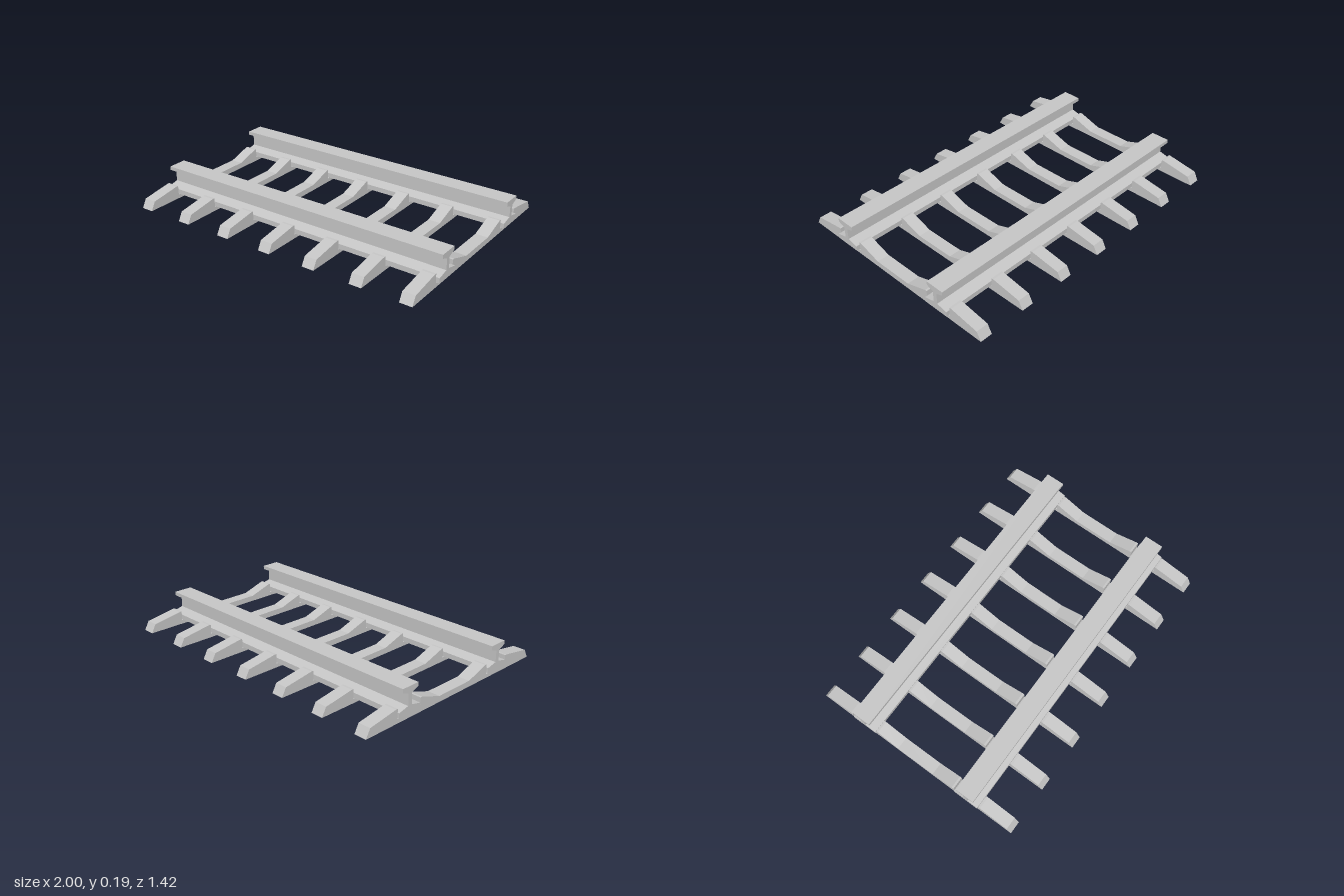
import * as THREE from 'three';

// Extrude a (z, y) cross-section along x, centred on x = 0
function sweep(points, length) {
  const shape = new THREE.Shape(points.map(([z, y]) => new THREE.Vector2(z, y)));
  const geometry = new THREE.ExtrudeGeometry(shape, { depth: length, bevelEnabled: false });
  geometry.translate(0, 0, -length / 2);
  geometry.rotateY(-Math.PI / 2);
  return geometry;
}

// Close a half profile by mirroring it across z = 0
const mirrored = (half) => [...half, ...half.map(([z, y]) => [-z, y]).reverse()];

export function createModel() {
  const model = new THREE.Group();
  model.name = 'railwayTrack';

  const steel = new THREE.MeshStandardMaterial({ color: 0xc6c6c6, flatShading: true });
  steel.name = 'grey';

  // Rails: wide foot, thin web, tapered head
  const railGeometry = sweep(mirrored([
    [0.084, 0.029], [0.084, 0.061], [0.014, 0.077],
    [0.014, 0.149], [0.061, 0.167], [0.061, 0.191],
  ]), 2);
  for (const side of [1, -1]) {
    const rail = new THREE.Mesh(railGeometry, steel);
    rail.name = side > 0 ? 'frontRail' : 'backRail';
    rail.position.z = side * 0.385;
    model.add(rail);
  }

  // Sleepers: sloped ends, a slot for each rail foot, low middle
  const sleeperGeometry = sweep(mirrored([
    [0.711, 0], [0.681, 0.055], [0.488, 0.086], [0.474, 0.086], [0.474, 0.025],
    [0.293, 0.025], [0.293, 0.086], [0.28, 0.086], [0.132, 0.037],
  ]), 0.08);
  for (let i = 0; i < 7; i++) {
    const sleeper = new THREE.Mesh(sleeperGeometry, steel);
    sleeper.name = `sleeper${i + 1}`;
    sleeper.position.x = -0.954 + i * 0.3158;
    model.add(sleeper);
  }

  return model;
}
